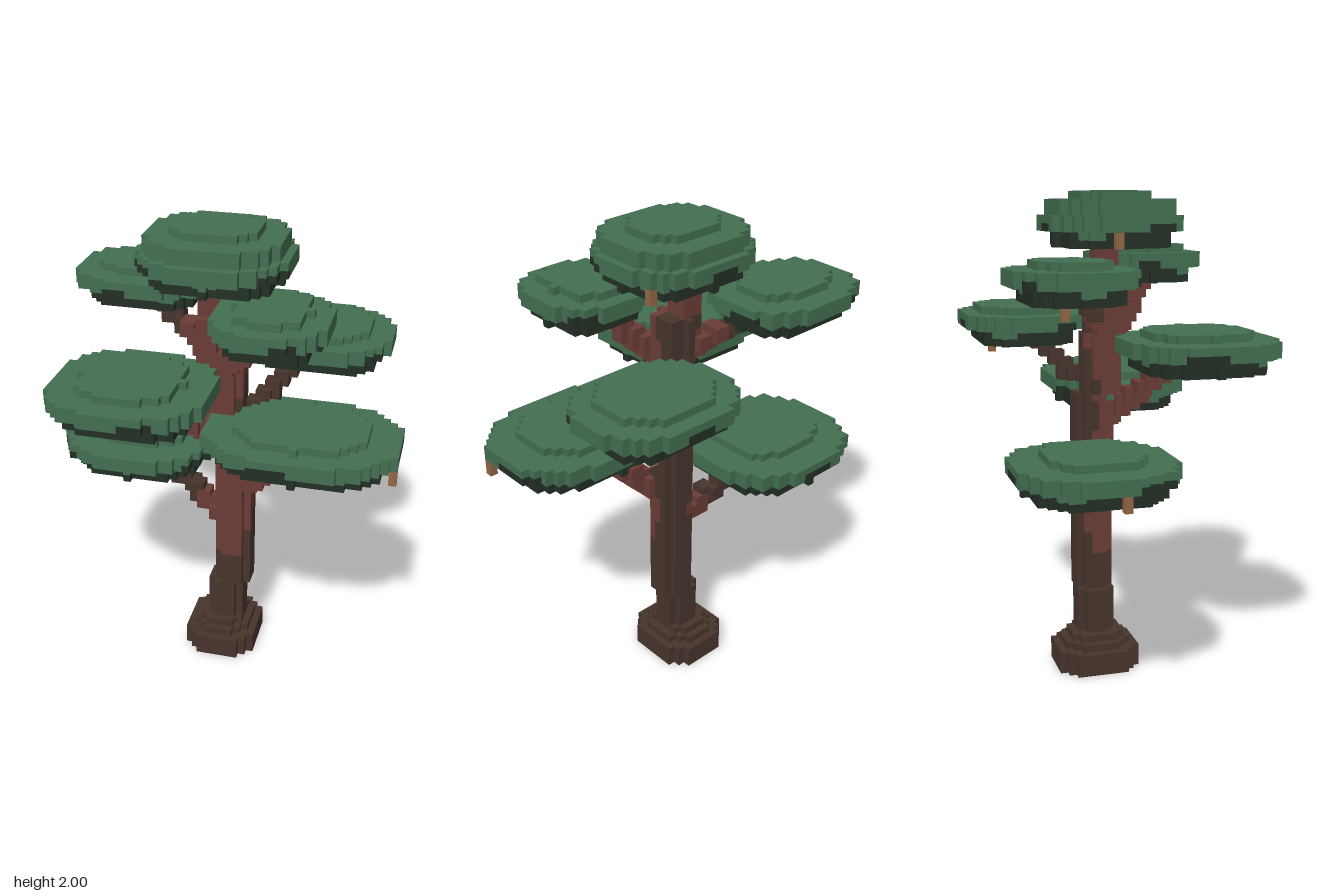
import * as THREE from 'three';

const UNIT = 1 / 32; // edge of one block
const mat = (name, color) => {
  const m = new THREE.MeshStandardMaterial({ color });
  m.name = name;
  return m;
};

export function createModel() {
  const materials = {
    leaf: mat('leafGreen', 0x436e51),
    shade: mat('shadedLeaf', 0x222f25),
    bark: mat('darkBark', 0x47342c),
    redBark: mat('redBark', 0x6b3c36),
    cone: mat('coneTan', 0x916645),
  };
  const tree = new THREE.Group();
  tree.name = 'tree';
  const taken = new Set();
  const parts = [];
  const key = (x, y, z) => `${x},${y},${z}`;

  // A part collects blocks; each block belongs to the first part claiming it
  const part = (name) => {
    const cells = [];
    parts.push({ name, cells });
    return (x, y, z, colour) => {
      if (taken.has(key(x, y, z))) return;
      taken.add(key(x, y, z));
      cells.push({ p: [x, y, z], colour });
    };
  };

  // Fills one rounded layer of blocks; x blocks are centred on whole numbers, z on halves
  const layer = (put, y, cx, cz, rx, rz, colour) => {
    for (let x = Math.floor(cx - rx); x <= cx + rx; x++)
      for (let z = Math.floor(cz - rz); z <= cz + rz; z++) {
        const dx = x - cx, dz = z + 0.5 - cz;
        if (Math.abs(dx / rx) ** 2.5 + Math.abs(dz / rz) ** 2.5 <= 1) put(x, y, z, colour(dx, dz));
      }
  };

  // Trunk with flared roots: [y from, y to, centre x, centre z, radius x, radius z]
  const trunk = part('trunk');
  [
    [0, 3, -0.5, -2.5, 5, 5.5],
    [3, 4, -0.5, -2.5, 4, 4.5],
    [4, 5, -0.5, -2.5, 3, 3.5],
    [5, 11, 0, -2.5, 2.5, 2.5],
    [11, 38, 1, -2.5, 2.5, 2.5],
    [38, 46, 0, -1.5, 2.5, 2.5],
    [46, 52, -1, -1, 2.5, 2.5],
    [52, 58, -2, -1.5, 1.5, 1.5],
  ].forEach(([y0, y1, cx, cz, rx, rz]) => {
    for (let y = y0; y < y1; y++)
      layer(trunk, y, cx, cz, rx, rz, (dx, dz) =>
        y >= 52 || (y >= 16 && dz - 0.6 * dx + 1.5 * Math.sin(y * 0.3 - 1.5 * Math.PI - 1) > 0) ? 'redBark' : 'bark');
  });

  // Foliage pads: [name, base y, centre x, centre z, radius x, radius z, cap radius x, cap radius z]
  const pads = [
    ['lowerRightPad', 28, -13, -6, 10.5, 10, 7, 6],
    ['lowerLeftPad', 35, 11, 3, 12.5, 9, 8.5, 6.5],
    ['middleRightPad', 42, -9.5, 8.5, 10, 9.5, 6.5, 6.5],
    ['middleLeftPad', 44, 10.5, -10, 10, 8, 7, 6],
    ['upperRightPad', 51, -12.5, -8.5, 9, 7.5, 6, 4.5],
    ['upperLeftPad', 52, 7.5, 6.5, 7, 7.5, 4.5, 5.5],
    ['crownPad', 57, -1, -0.5, 9.5, 8.5, 5.5, 4.5],
  ];
  pads.forEach(([name, base, cx, cz, rx, rz, capX, capZ], i) => {
    const put = part(name);
    const crown = name === 'crownPad';
    const tiers = [[rx - 1.5, rz - 1.5, 2], [rx, rz, 2]];
    if (crown) tiers.push([rx - 1, rz - 1, 2]);
    tiers.push([capX, capZ, 1]);
    let level = 0;
    for (const [tx, tz, count] of tiers)
      for (let n = 0; n < count; n++, level++) {
        const h = level;
        layer(put, base + h, cx, cz, tx, tz, (dx, dz) => {
          // Shaded underside with a wavy upper edge
          const wave = Math.sin(3 * Math.atan2(dz, dx) + i * 2.1);
          const limit = wave > 0.75 ? 3 : wave < -0.8 ? 1 : 2;
          return h === 0 || h < limit ? 'shade' : 'leaf';
        });
      }
  });

  // Stepped branches: [name, start, end, share of the length in red bark, red at the tip]
  [
    ['lowerRightBranch', [-1, 21, -3], [-10, 28, -6], 0.4],
    ['lowerLeftBranch', [3, 28, -2], [9, 35, 2], 1],
    ['middleRightBranch', [-1, 35, -1], [-8, 42, 5], 1],
    ['middleLeftBranch', [2, 37, -3], [8, 44, -9], 0],
    ['upperRightBranch', [-2, 46, -2], [-10, 51, -7], 0.6],
    ['upperLeftBranch', [0, 46, 0], [5, 52, 5], 1],
  ].forEach(([name, a, b, redShare]) => {
    const put = part(name);
    const steps = 2 * Math.max(...a.map((v, i) => Math.abs(b[i] - v)));
    for (let s = 0; s <= steps; s++) {
      const t = s / steps;
      const [x, y, z] = a.map((v, i) => Math.round(v + (b[i] - v) * t));
      const colour = t < redShare || redShare === 1 ? 'redBark' : 'bark';
      for (let n = 0; n < 8; n++) put(x + (n & 1), y - ((n >> 1) & 1), z + (n >> 2), colour);
    }
  });

  // Cones hanging beneath the pads: [x, lowest y, z]
  const cone = part('cones');
  [
    [-9, 57, -2], [7, 57, -6], [7, 50, 5], [14, 42, -14], [23, 35, 6],
    [-23, 28, -5], [-17, 28, -14], [-3, 40, 5], [-14, 49, -10],
  ].forEach(([x, y, z]) => {
    cone(x, y, z, 'cone');
    cone(x, y + 1, z, 'cone');
  });

  // Turns every part into meshes made of its exposed block faces
  const corners = [[0, 0], [1, 0], [1, 1], [0, 1]];
  for (const { name, cells } of parts) {
    const group = new THREE.Group();
    group.name = name;
    for (const colour of Object.keys(materials)) {
      const position = [], normal = [], index = [];
      for (const cell of cells) {
        if (cell.colour !== colour) continue;
        for (let d = 0; d < 3; d++)
          for (const sign of [1, -1]) {
            const next = [...cell.p];
            next[d] += sign;
            if (taken.has(key(...next))) continue;
            const start = position.length / 3;
            for (const [u, v] of corners) {
              const c = [...cell.p];
              c[d] += sign > 0 ? 1 : 0;
              c[(d + 1) % 3] += u;
              c[(d + 2) % 3] += v;
              position.push((c[0] - 0.5) * UNIT, c[1] * UNIT, c[2] * UNIT);
              const n = [0, 0, 0];
              n[d] = sign;
              normal.push(...n);
            }
            const order = sign > 0 ? [0, 1, 2, 0, 2, 3] : [0, 2, 1, 0, 3, 2];
            index.push(...order.map((o) => start + o));
          }
      }
      if (!index.length) continue;
      const geometry = new THREE.BufferGeometry();
      geometry.setAttribute('position', new THREE.Float32BufferAttribute(position, 3));
      geometry.setAttribute('normal', new THREE.Float32BufferAttribute(normal, 3));
      geometry.setIndex(index);
      const mesh = new THREE.Mesh(geometry, materials[colour]);
      mesh.name = `${name} ${materials[colour].name}`;
      group.add(mesh);
    }
    tree.add(group);
  }
  return tree;
}
